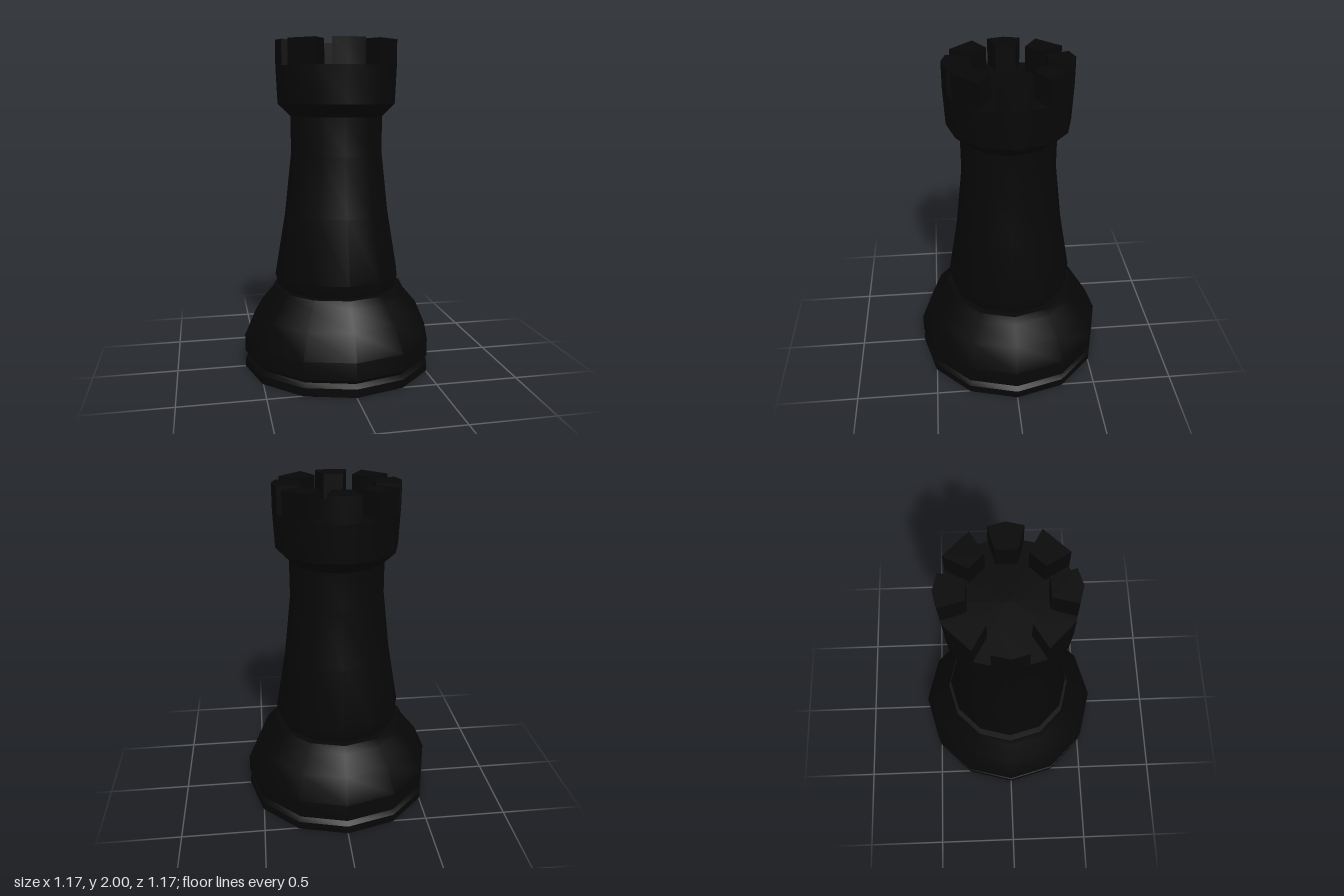
import * as THREE from 'three';
import { toCreasedNormals } from 'three/addons/utils/BufferGeometryUtils.js';

const SIDES = 12;
const CREASE = 0.6; // smooth around the 12 sides, sharp at the profile's edges
const FLOOR = 1.85;
const RIM = 0.37;

// Double-sided, as the piece is a hollow shell open at the bottom
const black = new THREE.MeshStandardMaterial({ color: 0x070707, side: THREE.DoubleSide });
black.name = 'black';

function addMesh(parent, name, geometry) {
  const mesh = new THREE.Mesh(toCreasedNormals(geometry, CREASE), black);
  mesh.name = name;
  parent.add(mesh);
}

// Twelve-sided turned part from [radius, height] pairs, bottom to top
function turned(parent, name, profile) {
  const points = profile.map(([r, y]) => new THREE.Vector2(r, y));
  addMesh(parent, name, new THREE.LatheGeometry(points, SIDES));
}

// Battlement block about 30 degrees wide, following the twelve-sided rim
function battlement(angle, onCorner) {
  const h = THREE.MathUtils.degToRad(onCorner ? 15.4 : 15);
  const outer = onCorner ? RIM * Math.cos(Math.PI / 12) : RIM;
  const inner = onCorner ? 0.217 : 0.222;
  const at = (r, a) => new THREE.Vector2(r * Math.cos(angle + a), r * Math.sin(angle + a));
  const outline = [at(inner, -h), at(outer, -h)];
  if (onCorner) outline.push(at(RIM, 0));
  outline.push(at(outer, h), at(inner, h));
  const geometry = new THREE.ExtrudeGeometry(new THREE.Shape(outline), {
    depth: 2 - FLOOR, bevelEnabled: false,
  });
  return geometry.rotateX(-Math.PI / 2).translate(0, FLOOR, 0);
}

export function createModel() {
  const model = new THREE.Group();
  model.name = 'castlePiece';

  // Hollow foot with a groove, rounded shoulder and ledge
  turned(model, 'base', [
    [0.583, 0], [0.583, 0.05], [0.558, 0.073], [0.583, 0.1], [0.583, 0.205],
    [0.517, 0.357], [0.43, 0.46], [0.405, 0.51], [0.365, 0.51],
  ]);

  // Tapering tower
  turned(model, 'tower', [
    [0.365, 0.51], [0.387, 0.59], [0.323, 0.97], [0.283, 1.33], [0.283, 1.555],
  ]);

  // Flared head with a flat floor
  turned(model, 'head', [
    [0.283, 1.555], [0.36, 1.63], [RIM, FLOOR], [0, FLOOR],
  ]);

  // Ring of eight battlements, alternately on a corner and on a flat side
  const crown = new THREE.Group();
  crown.name = 'battlements';
  for (let i = 0; i < 8; i++) {
    addMesh(crown, `battlement${i + 1}`, battlement(i * Math.PI / 4, i % 2 === 0));
  }
  model.add(crown);

  return model;
}
